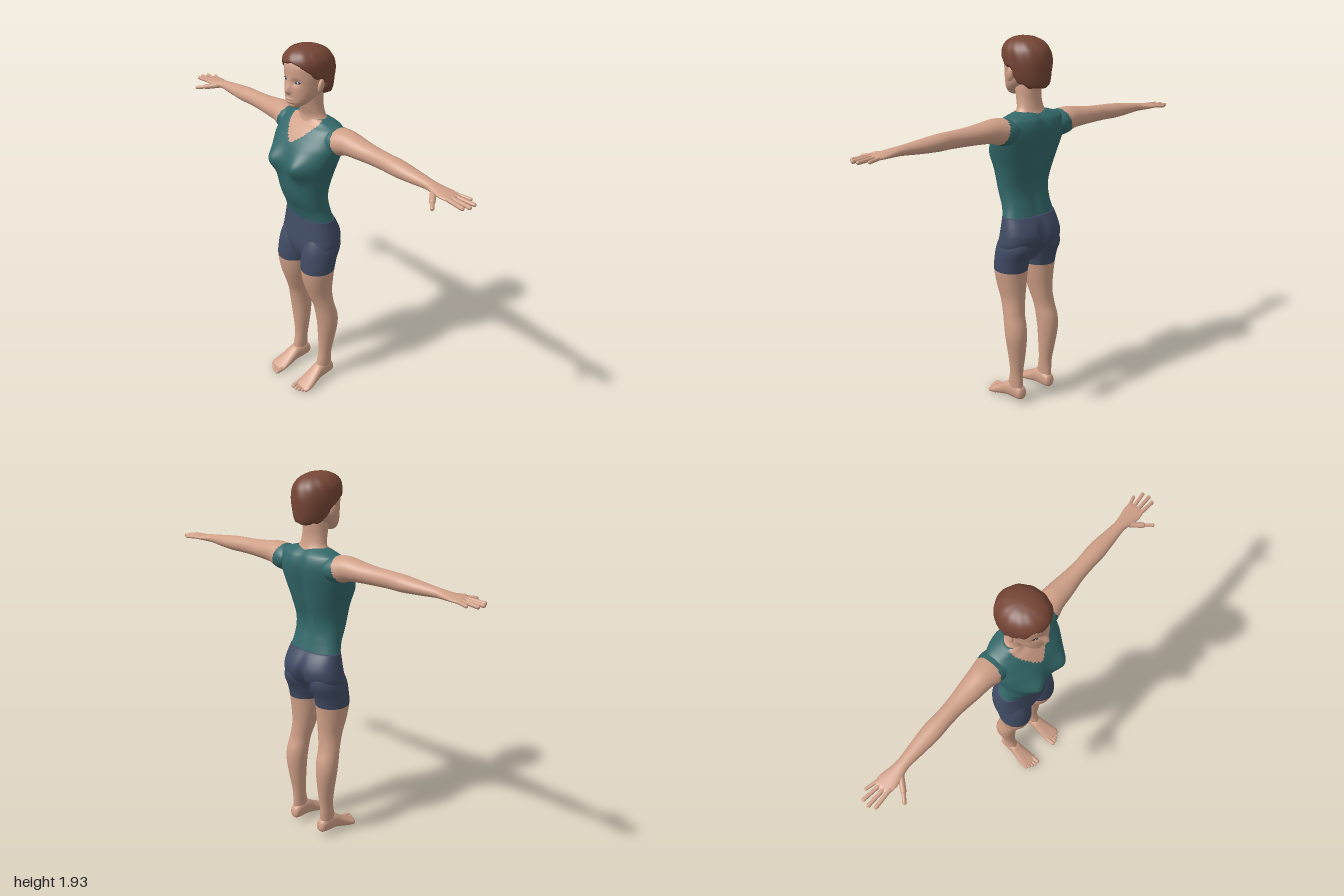
import * as THREE from 'three';

const mat = (name, color, side = THREE.FrontSide) => {
  const m = new THREE.MeshStandardMaterial({ color, side });
  m.name = name;
  return m;
};
const gauss = (d, w) => Math.exp(-(d * d) / (w * w));
const spow = (v, e) => Math.sign(v) * Math.pow(Math.abs(v), e);

// Axis mappers: t runs along the part, p is the symmetric axis, q the lo/hi axis
const alongY = (t, p, q) => [p, t, q];
const alongX = (t, p, q) => [t, q, p];
const alongZ = (t, p, q) => [p, q, t];

// Smooth skin through rings [t, centre, half, lo, hi]; optional shaping rule and mirroring
function loft(rings, map, { segs = 40, steps = 6, power = 2, side = 1, shape } = {}) {
  const rows = [];
  const at = (i) => rings[Math.max(0, Math.min(rings.length - 1, i))];
  for (let i = 0; i < rings.length - 1; i++) {
    for (let s = 0; s < steps; s++) {
      const u = s / steps;
      rows.push(at(i).map((b, k) => {
        const a = at(i - 1)[k], c = at(i + 1)[k], d = at(i + 2)[k];
        return b + 0.5 * u * (c - a + u * (2 * a - 5 * b + 4 * c - d + u * (3 * (b - c) + d - a)));
      }));
    }
  }
  rows.push(at(rings.length - 1));
  const pos = [], idx = [];
  const put = (t, p, q) => {
    const v = new THREE.Vector3(...map(t, p, q));
    if (shape) shape(v);
    pos.push(v.x * side, v.y, v.z);
  };
  for (const [t, c, h, lo, hi] of rows) {
    for (let j = 0; j < segs; j++) {
      const a = (j / segs) * Math.PI * 2;
      put(t, c + h * spow(Math.cos(a), 2 / power), (lo + hi) / 2 + ((hi - lo) / 2) * spow(Math.sin(a), 2 / power));
    }
  }
  const n = rows.length, first = n * segs, last = first + 1;
  for (const r of [rows[0], rows[n - 1]]) put(r[0], r[1], (r[3] + r[4]) / 2);
  for (let j = 0; j < segs; j++) {
    const k = (j + 1) % segs;
    for (let i = 0; i < n - 1; i++) {
      const a = i * segs + j, b = i * segs + k;
      idx.push(a, a + segs, b, b, a + segs, b + segs);
    }
    idx.push(first, j, k, last, (n - 1) * segs + k, (n - 1) * segs + j);
  }
  // Turn the faces outward whatever the axis or mirroring
  const P = (i) => new THREE.Vector3().fromArray(pos, i * 3);
  let volume = 0;
  for (let i = 0; i < idx.length; i += 3) volume += P(idx[i]).dot(P(idx[i + 1]).cross(P(idx[i + 2])));
  if (volume < 0) idx.reverse();
  const g = new THREE.BufferGeometry();
  g.setAttribute('position', new THREE.Float32BufferAttribute(pos, 3));
  g.setIndex(idx);
  g.computeVertexNormals();
  return g;
}

// Sort faces into two material groups by a rule on the face centre
function split(g, rule) {
  const p = g.attributes.position, src = g.index.array, sets = [[], []];
  for (let i = 0; i < src.length; i += 3) {
    const f = [src[i], src[i + 1], src[i + 2]];
    const mid = (k) => f.reduce((s, v) => s + p.getComponent(v, k), 0) / 3;
    sets[rule(Math.abs(mid(0)), mid(1), mid(2)) ? 1 : 0].push(...f);
  }
  g.setIndex([...sets[0], ...sets[1]]);
  g.addGroup(0, sets[0].length, 0);
  g.addGroup(sets[0].length, sets[1].length, 1);
  return g;
}

export function createModel() {
  const root = new THREE.Group();
  root.name = 'figure';
  const skin = mat('skin', 0xd0a088), shirt = mat('shirt', 0x33686a), shorts = mat('shorts', 0x404b63);
  const hair = mat('hair', 0x754535), white = mat('eyeWhite', 0xc9cdd0), iris = mat('iris', 0x41637a);
  const dark = mat('lash', 0x2c2624);
  const add = (name, geo, material) => {
    const m = new THREE.Mesh(geo, material);
    m.name = name;
    root.add(m);
    return m;
  };
  const ball = (name, material, c, r) => {
    const m = add(name, new THREE.SphereGeometry(1, 24, 16), material);
    m.position.set(...c);
    m.scale.set(...r);
    return m;
  };
  const digit = (name, a, b, r) => {
    const A = new THREE.Vector3(...a), B = new THREE.Vector3(...b), d = B.clone().sub(A);
    const m = add(name, new THREE.CapsuleGeometry(r, Math.max(0.001, d.length() - r), 6, 12), skin);
    m.position.copy(A).addScaledVector(d, 0.5);
    m.quaternion.setFromUnitVectors(new THREE.Vector3(0, 1, 0), d.normalize());
  };

  // Torso with tank top and scooped neckline
  const torso = loft([
    [1.045, 0, 0.155, -0.112, 0.042], [1.1, 0, 0.143, -0.099, 0.062], [1.16, 0, 0.142, -0.088, 0.09],
    [1.22, 0, 0.147, -0.092, 0.108], [1.3, 0, 0.162, -0.115, 0.12], [1.38, 0, 0.188, -0.134, 0.122],
    [1.45, 0, 0.204, -0.15, 0.1], [1.5, 0, 0.2, -0.155, 0.068], [1.54, 0, 0.188, -0.145, 0.035],
    [1.56, 0, 0.16, -0.128, 0.01], [1.58, 0, 0.09, -0.1, 0],
  ], alongY, {
    segs: 96, steps: 8, power: 2.25,
    shape: (v) => {
      if (v.z > 0) v.z += 0.042 * gauss(Math.abs(v.x) - 0.09, 0.055) * gauss(v.y - 1.365, 0.06) * Math.min(1, v.z / 0.05);
      else if (v.z < -0.05) v.z += 0.018 * gauss(v.x, 0.03) * gauss(v.y - 1.35, 0.22);
    },
  });
  add('tankTop', split(torso, (x, y, z) => z > -0.03 && x < 0.095 && y > 1.468 + 0.5 * x + 5 * x * x), [shirt, skin]);

  // Hips of the shorts
  add('shortsHips', loft([
    [0.8, 0, 0.09, -0.07, 0.04], [0.85, 0, 0.15, -0.105, 0.06], [0.9, 0, 0.178, -0.145, 0.066],
    [0.95, 0, 0.176, -0.158, 0.06], [1.0, 0, 0.167, -0.143, 0.052], [1.052, 0, 0.156, -0.113, 0.043],
  ], alongY, {
    segs: 72, power: 2.3,
    shape: (v) => { if (v.z < -0.04) v.z += 0.035 * gauss(v.x, 0.022) * gauss(v.y - 0.9, 0.09); },
  }), shorts);

  // Neck
  add('neck', loft([
    [1.53, 0, 0.11, -0.12, 0.02], [1.565, 0, 0.095, -0.11, 0.008], [1.595, 0, 0.074, -0.1, 0.006],
    [1.64, 0, 0.066, -0.094, 0.02], [1.7, 0, 0.064, -0.095, 0.035], [1.74, 0, 0.06, -0.09, 0.03],
  ], alongY), skin);

  // Head with nose, sockets and lips
  add('head', loft([
    [1.646, 0, 0.012, 0.05, 0.075], [1.653, 0, 0.034, 0.02, 0.088], [1.67, 0, 0.054, -0.01, 0.096],
    [1.69, 0, 0.07, -0.045, 0.097], [1.72, 0, 0.084, -0.095, 0.098], [1.76, 0, 0.094, -0.13, 0.097],
    [1.8, 0, 0.1, -0.14, 0.097], [1.85, 0, 0.098, -0.135, 0.094], [1.89, 0, 0.08, -0.11, 0.07],
    [1.915, 0, 0.04, -0.06, 0.03],
  ], alongY, {
    segs: 96, steps: 8, power: 2.1,
    shape: (v) => {
      if (v.z < 0.03) return;
      const ax = Math.abs(v.x);
      v.z += 0.022 * gauss(ax, 0.014) * gauss(v.y - 1.73, v.y > 1.73 ? 0.035 : 0.011);
      v.z -= 0.011 * gauss(ax - 0.038, 0.02) * gauss(v.y - 1.777, 0.016);
      v.z += 0.006 * gauss(ax, 0.022) * (gauss(v.y - 1.692, 0.005) + gauss(v.y - 1.679, 0.005));
      v.z -= 0.005 * gauss(ax, 0.03) * gauss(v.y - 1.668, 0.006);
    },
  }), skin);

  // Short hair; below the hairline the shell dives inside the head
  const hairline = [[0.2, 1.872], [0.09, 1.868], [0.06, 1.83], [0.015, 1.8], [-0.03, 1.785], [-0.05, 1.73], [-0.09, 1.705], [-0.3, 1.69]];
  const lineAt = (z) => {
    const i = hairline.findIndex((h) => h[0] <= z), [z1, y1] = hairline[i], [z0, y0] = hairline[i - 1];
    return y0 + ((y1 - y0) * (z - z0)) / (z1 - z0);
  };
  add('hair', loft([
    [1.69, 0, 0.065, -0.14, 0.02], [1.715, 0, 0.09, -0.15, 0.08], [1.76, 0, 0.107, -0.155, 0.105],
    [1.82, 0, 0.113, -0.156, 0.107], [1.87, 0, 0.108, -0.142, 0.108], [1.905, 0, 0.085, -0.108, 0.086],
    [1.925, 0, 0.05, -0.062, 0.05], [1.932, 0, 0.012, -0.02, 0.015],
  ], alongY, {
    segs: 96, steps: 8,
    shape: (v) => {
      const a = Math.atan2(v.x, v.z + 0.02);
      const pull = THREE.MathUtils.smoothstep(lineAt(v.z) + 0.006 * Math.sin(a * 9) - v.y, 0, 0.014);
      const k = 1 - 0.35 * pull + 0.012 * Math.sin(a * 11 + v.y * 40);
      v.x *= k;
      v.z = -0.02 + (v.z + 0.02) * k;
    },
  }), hair);

  for (const s of [1, -1]) {
    const side = s > 0 ? 'left' : 'right';

    // Eye, lash line, brow and ear
    ball(side + 'LashLine', dark, [s * 0.038, 1.778, 0.071], [0.02, 0.0115, 0.0105]);
    ball(side + 'EyeWhite', white, [s * 0.038, 1.777, 0.071], [0.0175, 0.0085, 0.013]);
    ball(side + 'Iris', iris, [s * 0.038, 1.777, 0.08], [0.0075, 0.0075, 0.0055]);
    ball(side + 'Pupil', dark, [s * 0.038, 1.777, 0.0835], [0.0035, 0.0035, 0.003]);
    const brow = new THREE.CatmullRomCurve3([[0.019, 1.797, 0.091], [0.04, 1.803, 0.083], [0.06, 1.797, 0.07]]
      .map(([x, y, z]) => new THREE.Vector3(s * x, y, z)));
    add(side + 'Brow', new THREE.TubeGeometry(brow, 12, 0.003, 6), hair);
    ball(side + 'Ear', skin, [s * 0.1, 1.757, -0.015], [0.012, 0.033, 0.02]).rotation.set(-0.2, s * 0.3, 0);

    // Arm and palm, with the shirt reaching onto the shoulder
    const arm = loft([
      [0.11, -0.06, 0.06, 1.47, 1.545], [0.16, -0.06, 0.078, 1.435, 1.56], [0.21, -0.06, 0.073, 1.435, 1.567],
      [0.26, -0.061, 0.063, 1.452, 1.567], [0.33, -0.061, 0.056, 1.459, 1.557], [0.42, -0.062, 0.045, 1.463, 1.549],
      [0.5, -0.062, 0.042, 1.465, 1.546], [0.58, -0.063, 0.045, 1.465, 1.542], [0.67, -0.063, 0.038, 1.47, 1.532],
      [0.76, -0.062, 0.03, 1.477, 1.522], [0.81, -0.06, 0.037, 1.478, 1.515], [0.86, -0.061, 0.046, 1.48, 1.508],
      [0.895, -0.063, 0.043, 1.482, 1.503], [0.908, -0.063, 0.035, 1.487, 1.498],
    ], alongX, { side: s });
    add(side + 'Arm', split(arm, (x, y) => x < 0.185 + 0.33 * (1.56 - y)), [skin, shirt]);

    // Fingers and thumb
    [[-0.03, 0.982, -0.024, 0.0095], [-0.052, 0.996, -0.054, 0.0095], [-0.074, 0.991, -0.088, 0.009], [-0.094, 0.95, -0.113, 0.008]]
      .forEach(([z0, x1, z1, r]) => digit(side + 'Finger', [s * 0.88, 1.494, z0], [s * x1, 1.489, z1], r));
    digit(side + 'ThumbBase', [s * 0.8, 1.492, -0.045], [s * 0.855, 1.482, 0.02], 0.014);
    digit(side + 'Thumb', [s * 0.84, 1.484, 0.005], [s * 0.888, 1.476, 0.055], 0.0095);

    // Leg, clothed above the hem
    const leg = loft([
      [0.96, 0.085, 0.07, -0.13, 0.04], [0.89, 0.091, 0.088, -0.143, 0.068], [0.82, 0.094, 0.088, -0.115, 0.08],
      [0.76, 0.096, 0.085, -0.1, 0.083], [0.68, 0.095, 0.075, -0.094, 0.07], [0.6, 0.097, 0.062, -0.092, 0.044],
      [0.52, 0.107, 0.057, -0.1, 0.014], [0.45, 0.112, 0.058, -0.12, 0], [0.38, 0.113, 0.055, -0.125, -0.01],
      [0.28, 0.108, 0.043, -0.114, -0.018], [0.19, 0.105, 0.033, -0.1, -0.021], [0.12, 0.105, 0.03, -0.099, -0.008],
      [0.05, 0.104, 0.03, -0.1, 0.01],
    ], alongY, { segs: 48, side: s });
    add(side + 'Leg', split(leg, (x, y) => y > 0.76), [skin, shorts]);

    // Foot and toes
    add(side + 'Foot', loft([
      [-0.112, 0.102, 0.012, 0.045, 0.068], [-0.1, 0.102, 0.028, 0.028, 0.095], [-0.06, 0.103, 0.034, 0.022, 0.115],
      [-0.01, 0.105, 0.037, 0.02, 0.11], [0.03, 0.108, 0.042, 0.013, 0.082], [0.07, 0.111, 0.048, 0.005, 0.055],
      [0.105, 0.112, 0.05, 0.003, 0.034], [0.122, 0.111, 0.042, 0.006, 0.024],
    ], alongZ, { power: 2.3, side: s }), skin);
    [[0.076, 0.148, 0.0125], [0.097, 0.147, 0.01], [0.115, 0.14, 0.0095], [0.132, 0.13, 0.009], [0.148, 0.117, 0.0085]]
      .forEach(([x, z, r]) => digit(side + 'Toe', [s * x, 0.02, z - 0.05], [s * x, r + 0.001, z], r));
  }
  return root;
}
